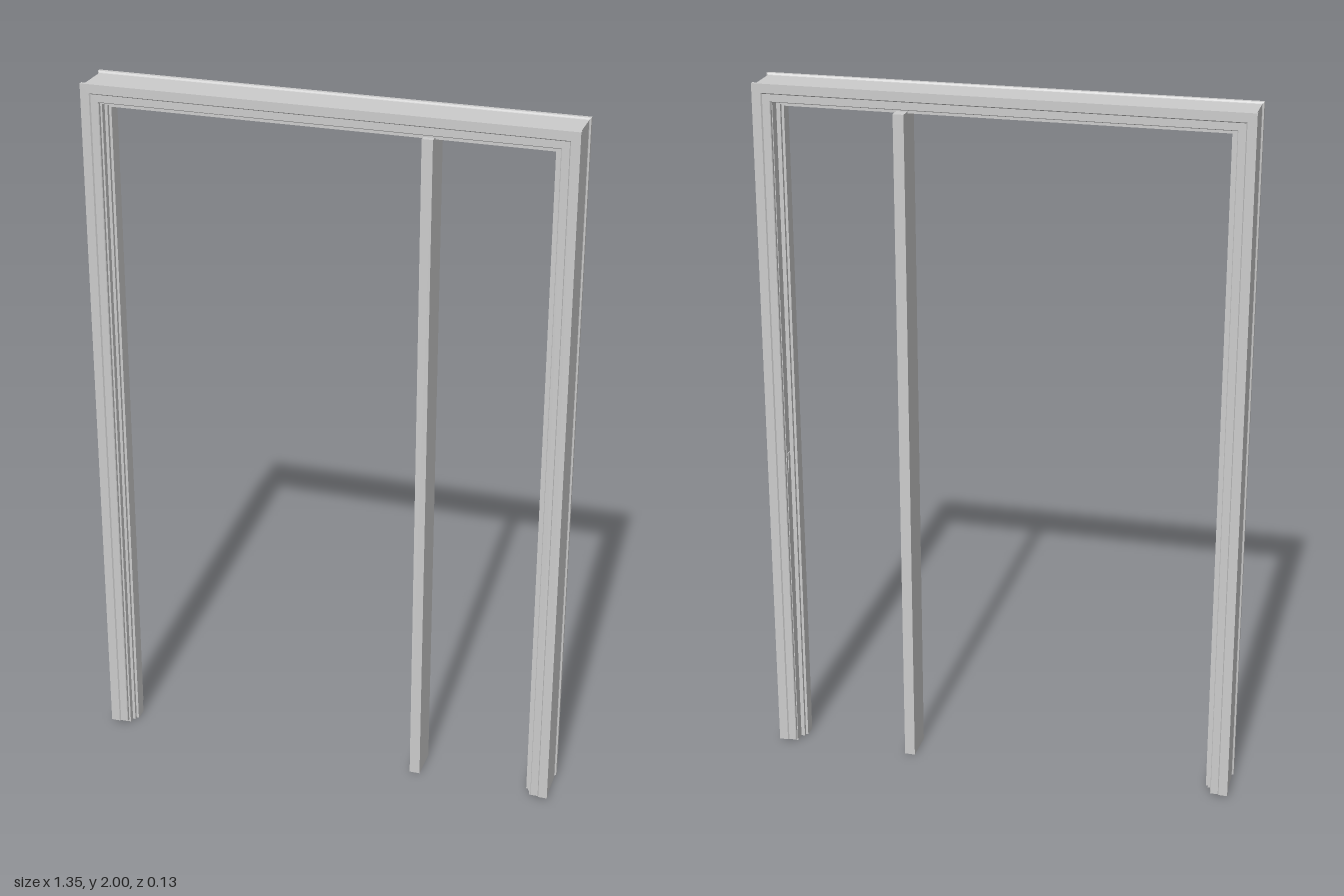
import * as THREE from 'three';

const W = 0.675, H = 2;
const material = new THREE.MeshStandardMaterial({ color: 0xcccccc, flatShading: true, side: THREE.DoubleSide });

// Sweep a closed (inset, z) section up one jamb, across the head and down the other, with mitred corners.
function sweepFrame(section, bottom, name) {
  const rings = [
    d => [-(W - d), bottom], d => [-(W - d), H - d],
    d => [W - d, H - d], d => [W - d, bottom],
  ];
  const pos = [], index = [], n = section.length;
  for (const ring of rings) for (const [d, z] of section) pos.push(...ring(d), z);
  for (let r = 0; r < rings.length - 1; r++) {
    for (let i = 0; i < n; i++) {
      const a = r * n + i, b = r * n + (i + 1) % n;
      index.push(a, b, a + n, b, b + n, a + n);
    }
  }
  // End caps at the floor
  const faces = THREE.ShapeUtils.triangulateShape(section.map(([d, z]) => new THREE.Vector2(d, z)), []);
  const last = (rings.length - 1) * n;
  for (const [a, b, c] of faces) index.push(a, b, c, last + a, last + c, last + b);
  const indexed = new THREE.BufferGeometry();
  indexed.setAttribute('position', new THREE.Float32BufferAttribute(pos, 3));
  indexed.setIndex(index);
  const geometry = indexed.toNonIndexed();
  geometry.computeVertexNormals();
  const mesh = new THREE.Mesh(geometry, material);
  mesh.name = name;
  return mesh;
}

function box(name, w, h, d, x, y, z) {
  const mesh = new THREE.Mesh(new THREE.BoxGeometry(w, h, d), material);
  mesh.name = name;
  mesh.position.set(x, y, z);
  return mesh;
}

export function createModel() {
  const group = new THREE.Group();
  group.name = 'doorFrame';

  // Casings on both faces, with a shallow step and a lip past the outer lining
  for (const s of [1, -1]) {
    const section = [
      [0, 0.067], [0.025, 0.067], [0.028, 0.063], [0.048, 0.063], [0.05, 0.061],
      [0.05, 0.05], [0.006, 0.05], [0.004, 0.054], [0, 0.056],
    ].map(([d, z]) => [d, z * s]);
    if (s < 0) section.reverse();
    group.add(sweepFrame(section, 0.007, s > 0 ? 'frontCasing' : 'backCasing'));
  }

  // Lining with a rebate on the back and a stepped stop
  group.add(sweepFrame([
    [0.005, 0.052], [0.055, 0.052], [0.055, 0.035], [0.063, 0.035], [0.063, 0.025],
    [0.07, 0.025], [0.07, -0.012], [0.063, -0.012], [0.063, -0.022],
    [0.052, -0.022], [0.052, -0.052], [0.005, -0.052],
  ], 0, 'lining'));

  // Intermediate post
  group.add(box('post', 0.03, 1.935, 0.097, 0.275, 1.935 / 2, -0.001));

  // Hinge plates on one jamb, strike plate on the other
  for (const y of [0.25, 1.03, 1.8]) group.add(box('hingePlate', 0.003, 0.03, 0.014, -0.622, y, -0.036));
  group.add(box('strikePlate', 0.003, 0.06, 0.014, 0.622, 0.9, -0.036));

  return group;
}
